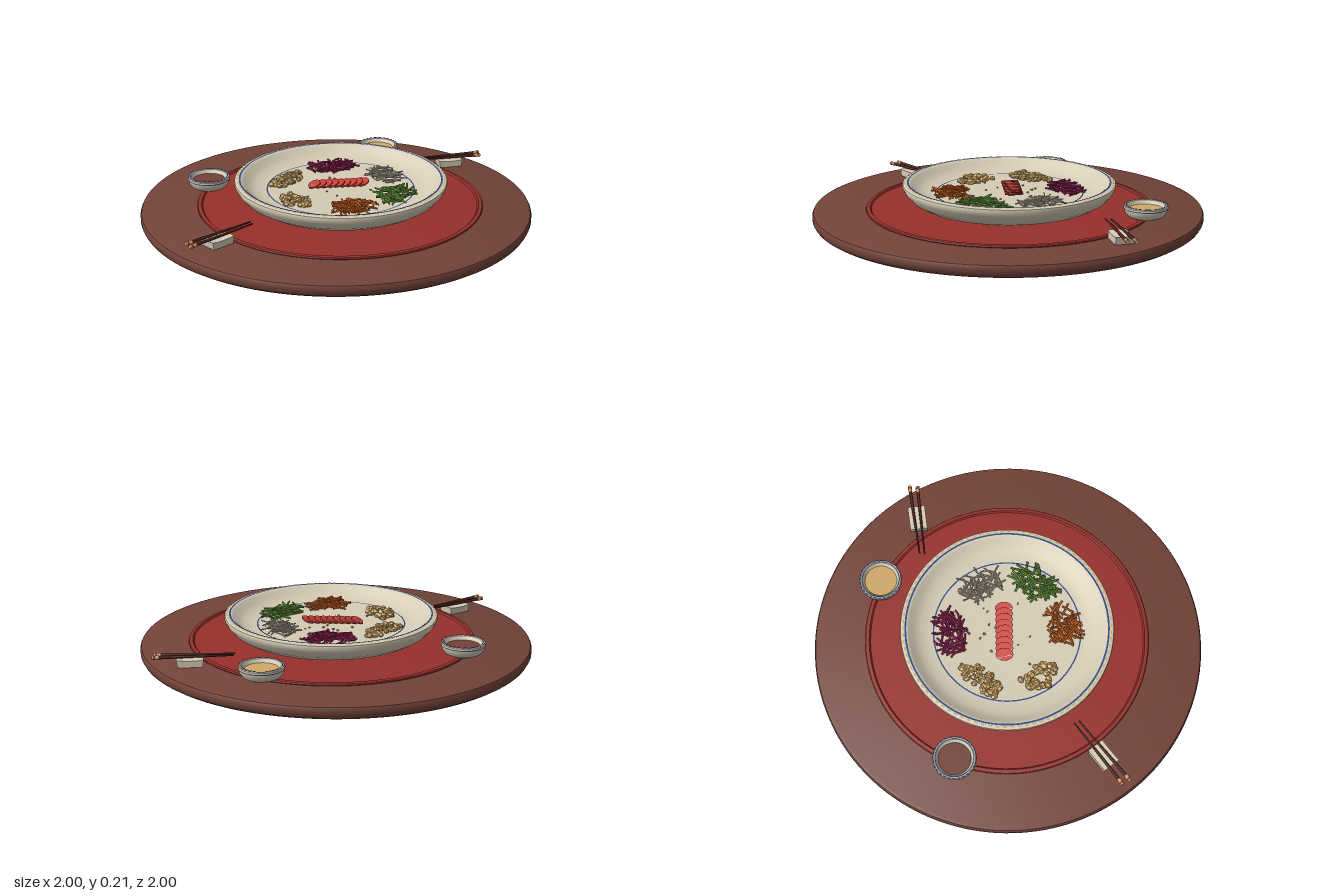
import * as THREE from 'three';
import { mergeGeometries, toCreasedNormals } from 'three/addons/utils/BufferGeometryUtils.js';

const mat = (name, color, side = THREE.FrontSide) => {
  const m = new THREE.MeshStandardMaterial({ color, side });
  m.name = name;
  return m;
};
const M = {
  wood: mat('tableWood', 0x734339),
  lacquer: mat('redLacquer', 0x96302b),
  ivory: mat('ivoryCeramic', 0xd6ccb6),
  blue: mat('blueGlaze', 0x2c4a85),
  tan: mat('tan', 0xd0a868),
  purple: mat('purpleCabbage', 0x9c2058),
  green: mat('green', 0x6c9f40),
  orange: mat('carrotOrange', 0xdc6820),
  meat: mat('meatRed', 0xcc3f38),
  dark: mat('darkWood', 0x4c211b),
};

let seed = 7;
const rnd = () => (seed = (seed * 16807) % 2147483647) / 2147483647;
const spread = (s) => (rnd() * 2 - 1) * s;

function add(parent, name, geo, material, x = 0, y = 0, z = 0) {
  const mesh = new THREE.Mesh(geo, material);
  mesh.name = name;
  mesh.position.set(x, y, z);
  parent.add(mesh);
  return mesh;
}
const lathe = (pts, seg = 96) =>
  toCreasedNormals(new THREE.LatheGeometry(pts.map((p) => new THREE.Vector2(...p)), seg), 0.7);
const flatRing = (r0, r1) => new THREE.RingGeometry(r0, r1, 96).rotateX(-Math.PI / 2);

// Ring of short painted dashes
function dashes(radius, width, count, fill) {
  const parts = [];
  for (let i = 0; i < count; i++) {
    const step = (Math.PI * 2) / count;
    parts.push(new THREE.RingGeometry(radius - width / 2, radius + width / 2, 2, 1, i * step, step * fill).rotateX(-Math.PI / 2));
  }
  return mergeGeometries(parts);
}

// Random point in a tilted ellipse, denser and higher in the middle
function heapPoint(rx, rz, height, turn) {
  const a = rnd() * Math.PI * 2, r = Math.sqrt(rnd());
  const x = Math.cos(a) * r * rx, z = Math.sin(a) * r * rz;
  const c = Math.cos(turn), s = Math.sin(turn);
  return new THREE.Vector3(x * c + z * s, 0.006 + rnd() * height * (1 - r * r * 0.8), z * c - x * s);
}

// Heap of thin curved shreds
function shreds(rx, rz, turn, count, radius) {
  const parts = [];
  for (let i = 0; i < count; i++) {
    const c = heapPoint(rx, rz, 0.042, turn), a = rnd() * Math.PI, h = 0.03 + rnd() * 0.022;
    const d = new THREE.Vector3(Math.cos(a) * h, spread(0.005), Math.sin(a) * h);
    const bend = new THREE.Vector3(-d.z, 0, d.x).multiplyScalar(spread(0.5));
    const curve = new THREE.QuadraticBezierCurve3(c.clone().sub(d), c.clone().add(bend), c.clone().add(d));
    parts.push(new THREE.TubeGeometry(curve, 5, radius, 5));
  }
  return mergeGeometries(parts);
}

// Heap of small faceted chunks
function chunks(rx, rz, turn, count, size, height) {
  const parts = [];
  for (let i = 0; i < count; i++) {
    const p = heapPoint(rx, rz, height, turn), s = size * (0.75 + rnd() * 0.5);
    parts.push(new THREE.DodecahedronGeometry(s).scale(1.1, 0.7, 0.9).rotateY(rnd() * 3).rotateX(spread(0.4)).translate(p.x, p.y, p.z));
  }
  return mergeGeometries(parts);
}

function createBowl() {
  const g = new THREE.Group();
  g.name = 'servingBowl';
  add(g, 'bowlBody', lathe([
    [0, 0.084], [0.37, 0.084], [0.41, 0.092], [0.46, 0.108], [0.505, 0.135], [0.535, 0.17], [0.546, 0.195],
    [0.543, 0.206], [0.534, 0.21], [0.512, 0.21], [0.5, 0.202], [0.478, 0.18], [0.445, 0.162], [0.4, 0.152], [0.37, 0.15], [0, 0.15],
  ]), M.ivory);
  add(g, 'rimLine', flatRing(0.513, 0.522), M.blue, 0, 0.2115, 0);
  add(g, 'rimDashes', dashes(0.53, 0.008, 90, 0.55), M.tan, 0, 0.2115, 0);
  add(g, 'innerLine', flatRing(0.374, 0.381), M.blue, 0, 0.1525, 0);

  // Heaps of food around the floor of the bowl
  const floor = 0.15;
  const heaps = [
    ['purpleShreds', M.purple, 0.09, -0.27, 0.115, 0.07, -0.2, 62, 0.005],
    ['noodles', M.ivory, 0.285, -0.03, 0.065, 0.11, 0, 60, 0.0035],
    ['greenShreds', M.green, 0.185, 0.23, 0.12, 0.075, 0.6, 62, 0.005],
    ['carrotShreds', M.orange, -0.085, 0.28, 0.105, 0.068, -0.1, 66, 0.005],
  ];
  for (const [name, m, x, z, rx, rz, turn, n, r] of heaps) add(g, name, shreds(rx, rz, turn, n, r), m, x, floor, z);
  add(g, 'crushedNuts', chunks(0.125, 0.052, 0.5, 60, 0.016, 0.03), M.tan, -0.195, floor, -0.22);
  add(g, 'nutPieces', chunks(0.06, 0.105, 0, 30, 0.02, 0.022), M.tan, -0.292, floor, 0.06);
  add(g, 'scatteredCrumbs', chunks(0.2, 0.15, 0, 12, 0.006, 0.002), M.tan, -0.02, floor, 0);

  // Row of overlapping slices with pale streaks
  const slices = new THREE.Group();
  slices.name = 'meatSlices';
  for (let i = 0; i < 9; i++) {
    const t = i / 8, s = new THREE.Group();
    s.name = 'meatSlice';
    add(s, 'slice', new THREE.CylinderGeometry(0.042, 0.042, 0.007, 10).scale(0.8, 1, 1.1), M.meat);
    for (let k = -1; k <= 1; k++) {
      add(s, 'streak', new THREE.BoxGeometry(0.004, 0.002, 0.022), M.ivory, -0.012 + k * 0.006, 0.004, k * 0.027);
    }
    s.position.set(-0.12 + t * 0.235, floor + 0.022, -0.062 + t * 0.09);
    s.rotation.set(0, -0.35, 0.38, 'YXZ');
    slices.add(s);
  }
  g.add(slices);
  g.position.set(0.025, 0, 0.005);
  return g;
}

function createSauceCup(x, z, sauce) {
  const g = new THREE.Group();
  g.name = 'sauceCup';
  add(g, 'cupBody', lathe([
    [0, 0], [0.07, 0], [0.09, 0.01], [0.105, 0.03], [0.111, 0.052], [0.11, 0.06], [0.105, 0.064],
    [0.095, 0.062], [0.088, 0.05], [0.08, 0.035], [0, 0.033],
  ], 48), M.ivory);
  add(g, 'sauce', new THREE.CylinderGeometry(0.083, 0.078, 0.008, 40), sauce, 0, 0.041, 0);
  add(g, 'rimLine', flatRing(0.096, 0.1), M.blue, 0, 0.0655, 0);
  add(g, 'rimDashes', dashes(0.106, 0.006, 28, 0.55), M.blue, 0, 0.0652, 0);
  add(g, 'outerBand', new THREE.CylinderGeometry(0.1115, 0.1105, 0.005, 48, 1, true), M.blue, 0, 0.05, 0);
  g.position.set(x, 0.085, z);
  return g;
}

// Pair of sticks pointing inward (-x) over a small rest
function createChopsticks(x, z, turn) {
  const g = new THREE.Group();
  g.name = 'chopsticks';
  const rest = new THREE.Shape();
  rest.moveTo(-0.06, 0);
  rest.lineTo(0.06, 0);
  rest.lineTo(0.066, 0.038);
  rest.quadraticCurveTo(0, 0.028, -0.066, 0.038);
  add(g, 'chopstickRest', new THREE.ExtrudeGeometry(rest, { depth: 0.09, bevelEnabled: false }).translate(0, 0, -0.045), M.ivory, 0, 0.078, 0);
  for (const s of [-1, 1]) {
    const stick = new THREE.Group();
    stick.name = 'chopstick';
    const piece = (name, r0, r1, x0, x1, m) =>
      add(stick, name, new THREE.CylinderGeometry(r1, r0, x1 - x0, 8).rotateZ(-Math.PI / 2), m, (x0 + x1) / 2, 0, 0);
    piece('shaft', 0.004, 0.0085, -0.215, 0.145, M.dark);
    piece('goldBand', 0.01, 0.0105, 0.145, 0.163, M.tan);
    piece('redCap', 0.0105, 0.0105, 0.163, 0.173, M.lacquer);
    piece('goldEnd', 0.0105, 0.01, 0.173, 0.18, M.tan);
    stick.position.set(s * -0.004, 0.125, s * 0.017);
    stick.rotation.y = s * -0.02;
    g.add(stick);
  }
  g.position.set(x, 0, z);
  g.rotation.y = turn;
  return g;
}

export function createModel() {
  const model = new THREE.Group();
  model.name = 'platterSetting';

  // Round table board
  add(model, 'tableBoard', lathe([
    [0, 0], [0.94, 0], [0.97, 0.005], [0.99, 0.018], [1, 0.036], [1, 0.058], [0.994, 0.07], [0.98, 0.075], [0, 0.075],
  ], 128), M.wood);

  // Red charger rising gently towards the bowl
  add(model, 'chargerPlate', lathe([
    [0, 0.074], [0.728, 0.074], [0.733, 0.08], [0.73, 0.086], [0.712, 0.088], [0.705, 0.08], [0.42, 0.09], [0, 0.09],
  ]), M.lacquer, 0.022, 0, 0.003);

  model.add(createBowl());
  model.add(createSauceCup(-0.5, -0.485, M.wood));
  model.add(createSauceCup(0.535, -0.5, M.tan));
  model.add(createChopsticks(0.81, -0.195, -0.24));
  model.add(createChopsticks(-0.755, 0.212, Math.PI + 0.28));
  return model;
}
